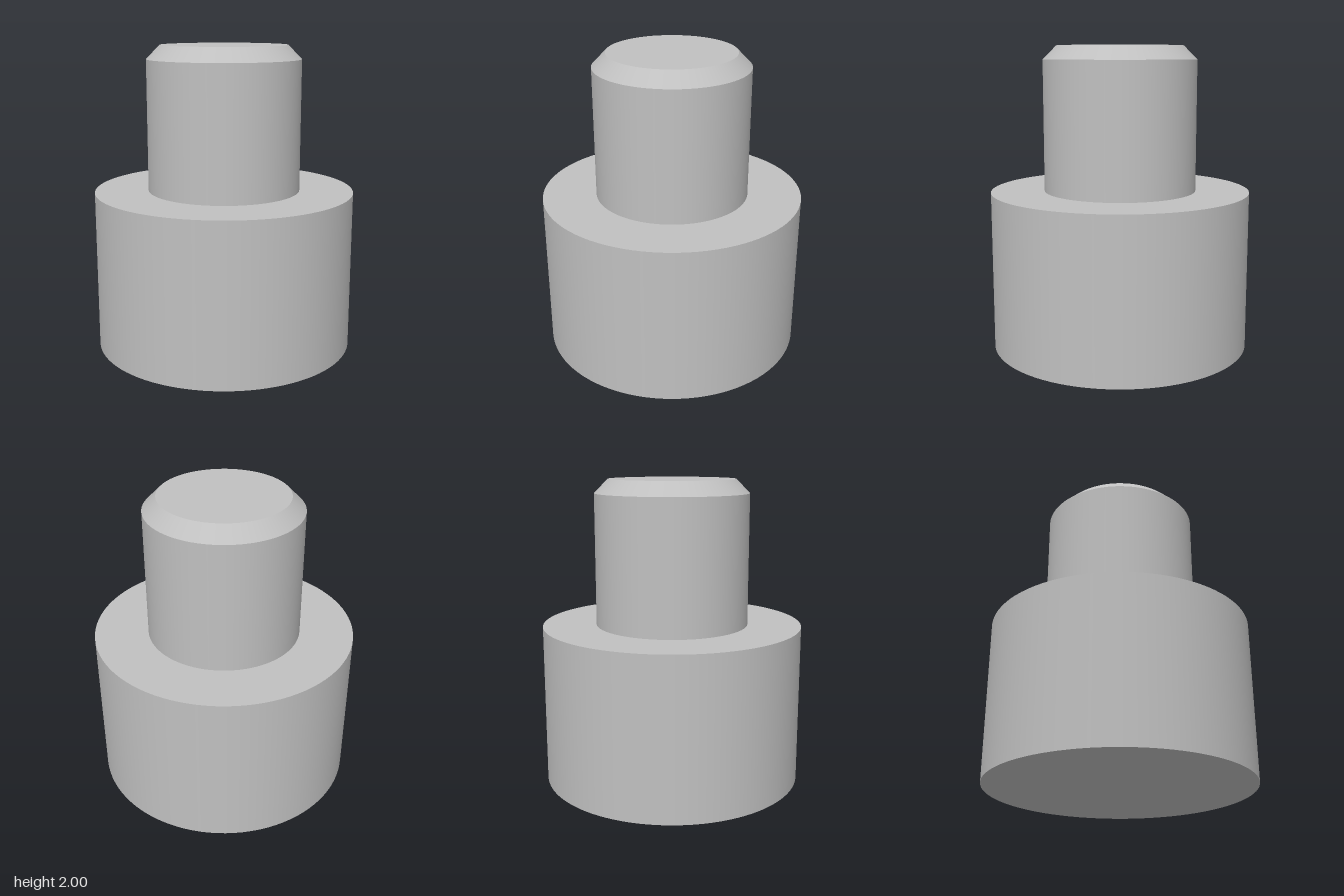
import * as THREE from 'three';

export function createModel() {
  const group = new THREE.Group();
  const steel = new THREE.MeshStandardMaterial({ color: 0xc0c0c0 });
  steel.name = 'steel grey';
  const SEGMENTS = 96;

  // Adds an upright cylinder or cone section standing on height y
  const addSection = (name, rTop, rBottom, y, height, open) => {
    const geometry = new THREE.CylinderGeometry(rTop, rBottom, height, SEGMENTS, 1, open);
    const mesh = new THREE.Mesh(geometry, steel);
    mesh.name = name;
    mesh.position.y = y + height / 2;
    group.add(mesh);
  };

  // Flat ring on top of the base, around the pin
  const addShoulder = (inner, outer, y) => {
    const mesh = new THREE.Mesh(new THREE.RingGeometry(inner, outer, SEGMENTS), steel);
    mesh.name = 'shoulder';
    mesh.rotation.x = -Math.PI / 2;
    mesh.position.y = y;
    group.add(mesh);
  };

  // Flat disc; facing is 1 for up, -1 for down
  const addDisc = (name, radius, y, facing) => {
    const mesh = new THREE.Mesh(new THREE.CircleGeometry(radius, SEGMENTS), steel);
    mesh.name = name;
    mesh.rotation.x = -facing * Math.PI / 2;
    mesh.position.y = y;
    group.add(mesh);
  };

  addDisc('baseUnderside', 0.857, 0, -1);
  addSection('base', 0.857, 0.857, 0, 1.05, true);
  addShoulder(0.504, 0.857, 1.05);
  addSection('pin', 0.504, 0.504, 1.05, 0.86, true);
  addSection('pinChamfer', 0.415, 0.504, 1.91, 0.09, true);
  addDisc('pinTop', 0.415, 2, 1);

  return group;
}
